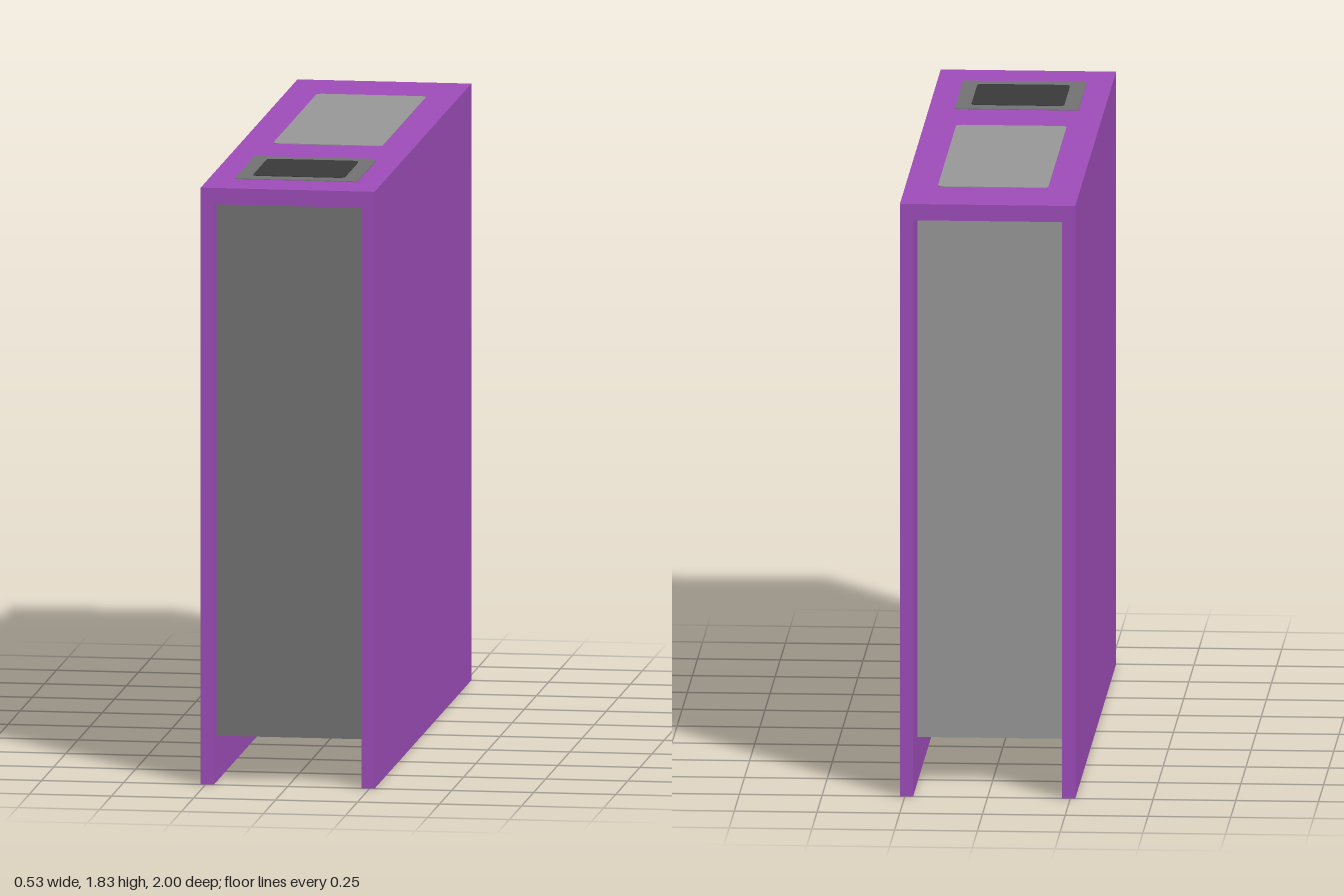
import * as THREE from 'three';

const material = (name, color) => {
  const m = new THREE.MeshStandardMaterial({ color });
  m.name = name;
  return m;
};

export function createModel() {
  const purple = material('purple', 0xa04ebb);
  const midGrey = material('midGrey', 0x747474);
  const lightGrey = material('lightGrey', 0x999999);
  const darkGrey = material('darkGrey', 0x3a3a3a);

  const W = 0.265, H = 1.825, wall = 0.04, roof = 0.05;
  const model = new THREE.Group();
  model.name = 'casing';

  const add = (name, geometry, mat) => {
    const mesh = new THREE.Mesh(geometry, mat);
    mesh.name = name;
    model.add(mesh);
    return mesh;
  };

  // Outer shell: an upside-down U section run along z
  const section = new THREE.Shape([
    [-W, 0], [-W + wall, 0], [-W + wall, H - roof], [W - wall, H - roof],
    [W - wall, 0], [W, 0], [W, H], [-W, H],
  ].map(([x, y]) => new THREE.Vector2(x, y)));
  const shell = new THREE.ExtrudeGeometry(section, { depth: 2, bevelEnabled: false });
  shell.translate(0, 0, -1);
  add('outerShell', shell, purple);

  // Inner block, set in from both open ends, with a darker front face
  const bottom = 0.14, top = H - roof, back = -0.79, front = 0.94;
  const block = new THREE.BoxGeometry(2 * (W - wall), top - bottom, front - back);
  block.translate(0, (top + bottom) / 2, (front + back) / 2);
  const l = lightGrey;
  add('innerBlock', block, [l, l, l, l, midGrey, l]);

  // Thin rounded plates lying on the roof
  const plate = (name, halfW, z0, z1, r, thick, mat) => {
    const hd = (z1 - z0) / 2, s = new THREE.Shape();
    s.moveTo(-halfW + r, -hd);
    s.lineTo(halfW - r, -hd);
    s.quadraticCurveTo(halfW, -hd, halfW, -hd + r);
    s.lineTo(halfW, hd - r);
    s.quadraticCurveTo(halfW, hd, halfW - r, hd);
    s.lineTo(-halfW + r, hd);
    s.quadraticCurveTo(-halfW, hd, -halfW, hd - r);
    s.lineTo(-halfW, -hd + r);
    s.quadraticCurveTo(-halfW, -hd, -halfW + r, -hd);
    const g = new THREE.ExtrudeGeometry(s, { depth: thick, bevelEnabled: false, curveSegments: 4 });
    g.rotateX(-Math.PI / 2);
    g.translate(0, H, (z0 + z1) / 2);
    add(name, g, mat);
  };
  plate('topLabel', 0.167, -0.74, 0.175, 0.02, 0.002, lightGrey);
  plate('buttonFrame', 0.187, 0.415, 0.83, 0.008, 0.002, midGrey);
  plate('button', 0.14, 0.47, 0.775, 0.02, 0.004, darkGrey);

  return model;
}
